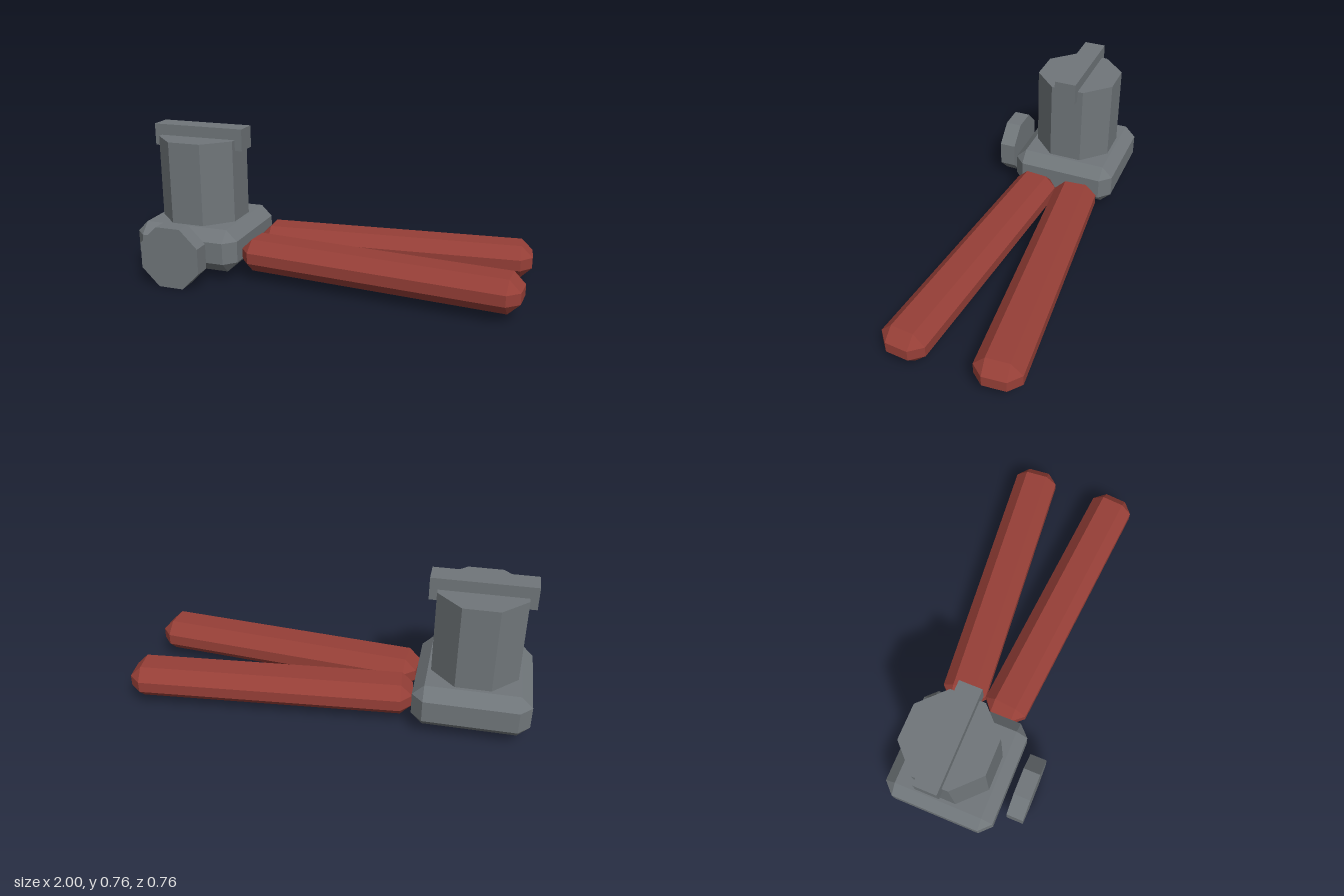
import * as THREE from 'three';
import { ConvexGeometry } from 'three/addons/geometries/ConvexGeometry.js';

const CHAMFER = 0.057;
const AXIS_X = -0.716, AXIS_Z = -0.036;

// Box with every edge cut at 45 degrees
function chamferedBox(w, h, d, c = CHAMFER) {
  const [x, y, z] = [w / 2, h / 2, d / 2];
  const points = [];
  for (const sx of [-1, 1]) for (const sy of [-1, 1]) for (const sz of [-1, 1]) {
    points.push(
      new THREE.Vector3(sx * x, sy * (y - c), sz * (z - c)),
      new THREE.Vector3(sx * (x - c), sy * y, sz * (z - c)),
      new THREE.Vector3(sx * (x - c), sy * (y - c), sz * z),
    );
  }
  return new ConvexGeometry(points);
}

// Eight-sided prism with flats facing the axes
function octagonPrism(width, height) {
  const radius = width / 2 / Math.cos(Math.PI / 8);
  return new THREE.CylinderGeometry(radius, radius, height, 8).rotateY(Math.PI / 8);
}

export function createModel() {
  const model = new THREE.Group();
  const metal = new THREE.MeshStandardMaterial({ color: 0x70767a, flatShading: true });
  metal.name = 'grey metal';
  const grip = new THREE.MeshStandardMaterial({ color: 0x963f37, flatShading: true });
  grip.name = 'red grip';

  function add(name, geometry, material, x, y, z) {
    const mesh = new THREE.Mesh(geometry, material);
    mesh.name = name;
    mesh.position.set(x, y, z);
    model.add(mesh);
    return mesh;
  }

  // Tool head: block, upright barrel, cross bar and front disc
  add('headBlock', chamferedBox(0.568, 0.226, 0.568), metal, AXIS_X, 0.16, AXIS_Z);
  add('barrel', octagonPrism(0.42, 0.44), metal, AXIS_X, 0.481, AXIS_Z);
  add('crossBar', new THREE.BoxGeometry(0.498, 0.114, 0.114), metal, AXIS_X, 0.702, AXIS_Z);
  add('frontDisc', octagonPrism(0.316, 0.086).rotateX(Math.PI / 2), metal, AXIS_X, 0.159, 0.336);

  // Pair of handles spreading apart towards the tips
  for (const side of [1, -1]) {
    const handle = add(side > 0 ? 'frontHandle' : 'backHandle',
      chamferedBox(1.426, 0.17, 0.229), grip, 0.285, 0.132, AXIS_Z + side * 0.172);
    handle.rotation.y = -side * THREE.MathUtils.degToRad(5);
  }

  return model;
}
